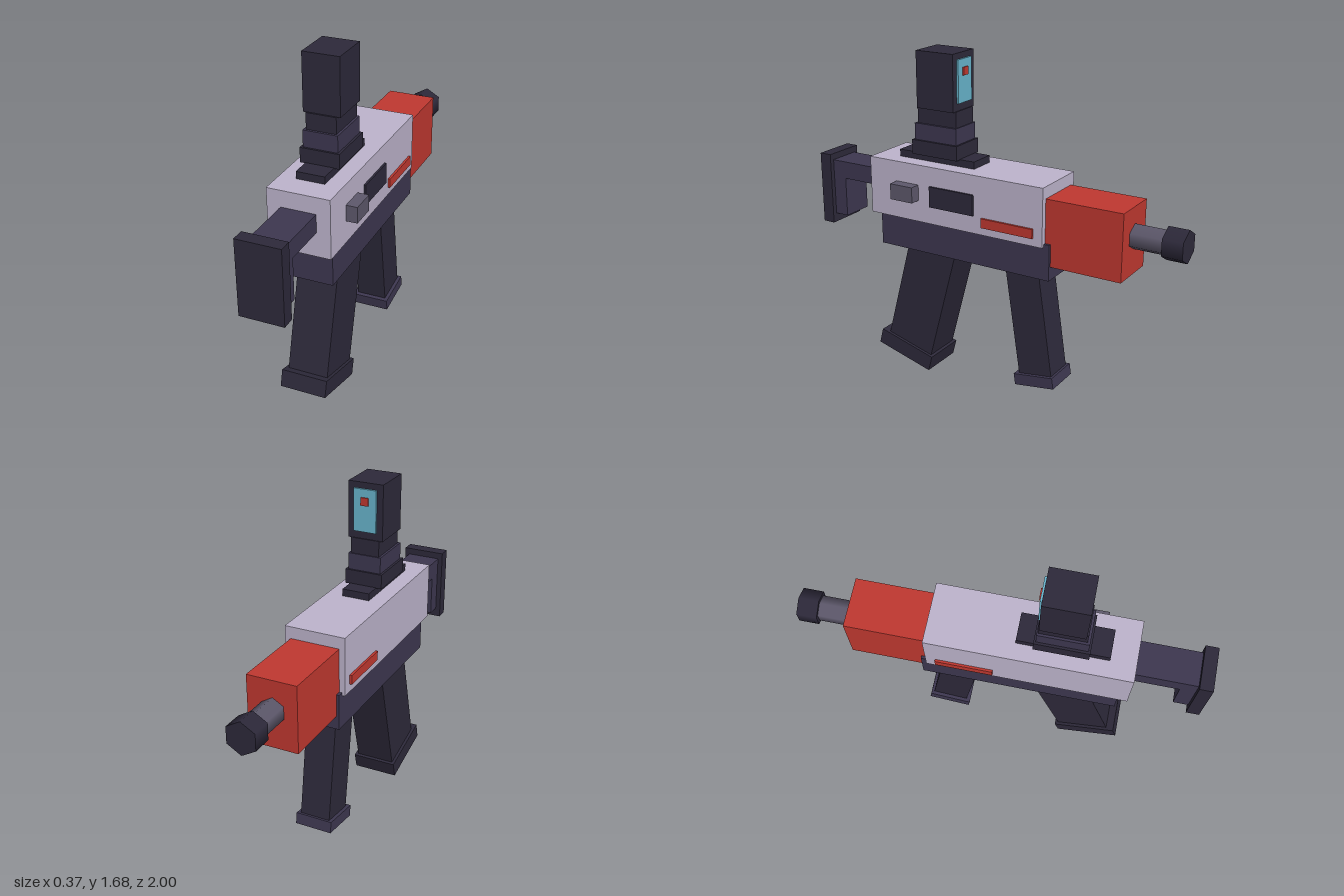
import * as THREE from 'three';

const CX = -0.023; // centre plane of the symmetric parts

const mat = (color) => new THREE.MeshStandardMaterial({ color });
const DARK = mat(0x2d293a);
const SLATE = mat(0x3d3750);
const PALE = mat(0xbdb4cc);
const RED = mat(0xc03830);
const METAL = mat(0x5d586b);
const GLASS = mat(0x68b4cc);

export function createModel() {
  const model = new THREE.Group();
  model.name = 'toyBlaster';

  const add = (name, geometry, material, x, y, z, parent = model) => {
    const mesh = new THREE.Mesh(geometry, material);
    mesh.name = name;
    mesh.position.set(x, y, z);
    parent.add(mesh);
    return mesh;
  };

  // Box given by its width, centre x and its y and z ranges
  const box = (name, material, w, [y0, y1], [z0, z1], x = CX) =>
    add(name, new THREE.BoxGeometry(w, y1 - y0, z1 - z0), material, x, (y0 + y1) / 2, (z0 + z1) / 2);

  // Receiver and handguard
  box('receiver', PALE, 0.305, [0.85, 1.142], [-0.35, 0.635]);
  box('lowerReceiver', SLATE, 0.275, [0.685, 0.865], [-0.38, 0.588]);
  box('handguard', RED, 0.247, [0.752, 1.083], [-0.74, -0.34]);

  // Side details
  box('ejectionPort', DARK, 0.04, [0.94, 1.045], [0.025, 0.275], 0.12);
  box('chargingHandle', METAL, 0.085, [0.96, 1.04], [0.345, 0.475], 0.1425);
  for (const side of [-1, 1]) {
    box('sideStripe', RED, 0.04, [0.89, 0.937], [-0.302, -0.022], CX + side * 0.144);
  }

  // Six-sided barrel and muzzle, pointing to the back
  const tube = (name, material, r, z0, z1) => {
    const geometry = new THREE.CylinderGeometry(r, r, z1 - z0, 6).rotateX(Math.PI / 2);
    add(name, geometry, material, CX - 0.003, 0.938, (z0 + z1) / 2);
  };
  tube('barrel', METAL, 0.062, -0.92, -0.72);
  tube('muzzle', DARK, 0.081, -1, -0.9);

  // Stock
  box('stockArm', SLATE, 0.17, [0.97, 1.06], [0.62, 0.94]);
  box('stockPost', SLATE, 0.169, [0.765, 1.059], [0.86, 0.94]);
  box('buttPlate', DARK, 0.218, [0.718, 1.093], [0.935, 1]);

  // Sight: a stack of blocks, each [name, material, width, y range, z range]
  const sight = [
    ['sightRail', DARK, 0.14, [1.135, 1.178], [0.072, 0.51]],
    ['sightBase', DARK, 0.193, [1.175, 1.248], [0.155, 0.415]],
    ['sightCollar', SLATE, 0.17, [1.248, 1.33], [0.165, 0.405]],
    ['sightNeck', DARK, 0.147, [1.33, 1.41], [0.17, 0.393]],
    ['sightHead', DARK, 0.18, [1.408, 1.687], [0.175, 0.385]],
    ['sightScreen', GLASS, 0.116, [1.447, 1.657], [0.165, 0.185]],
    ['sightDot', RED, 0.04, [1.578, 1.617], [0.158, 0.175]],
  ];
  for (const part of sight) box(...part);

  // Slanted grips: a shaft and a wider foot, tilted around the foot centre
  const grip = (name, { y, z, tilt, shaft, foot, footMaterial }) => {
    const group = new THREE.Group();
    group.name = name;
    group.position.set(CX, y, z);
    group.rotation.x = tilt;
    model.add(group);
    const [w, h, d, shift] = shaft;
    add(name + 'Shaft', new THREE.BoxGeometry(w, h, d), DARK, 0, h / 2, shift, group);
    add(name + 'Foot', new THREE.BoxGeometry(...foot), footMaterial, 0, 0, 0, group);
  };
  grip('rearGrip', {
    y: 0.09, z: 0.482, tilt: -THREE.MathUtils.degToRad(15),
    shaft: [0.202, 0.7, 0.272, -0.012], foot: [0.232, 0.084, 0.327], footMaterial: DARK,
  });
  grip('foreGrip', {
    y: 0.109, z: -0.283, tilt: THREE.MathUtils.degToRad(8.5),
    shaft: [0.155, 0.64, 0.182, -0.004], foot: [0.19, 0.058, 0.217], footMaterial: SLATE,
  });

  return model;
}
